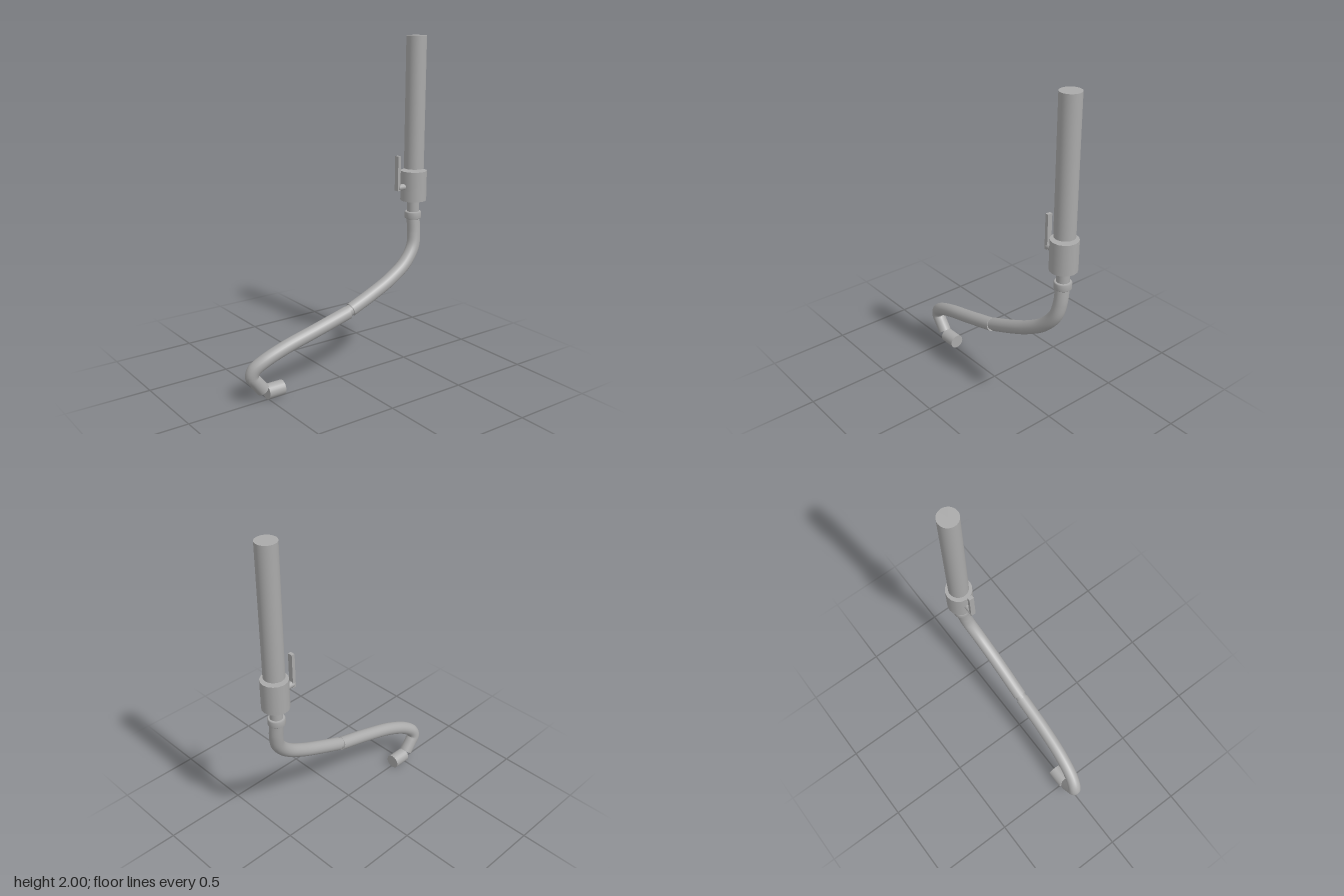
import * as THREE from 'three';

export function createModel() {
  const model = new THREE.Group();
  const metal = new THREE.MeshStandardMaterial({ color: 0xaaaaaa });
  metal.name = 'grey metal';
  const X = -0.01, Z = -0.56; // axis of the upright parts

  const add = (name, geometry, x = 0, y = 0, z = 0) => {
    const mesh = new THREE.Mesh(geometry, metal);
    mesh.name = name;
    mesh.position.set(x, y, z);
    model.add(mesh);
    return mesh;
  };
  const upright = (name, r, y0, y1, sides = 32) =>
    add(name, new THREE.CylinderGeometry(r, r, y1 - y0, sides), X, (y0 + y1) / 2, Z);
  const alongZ = (name, r, y, z0, z1, sides = 24) => {
    const g = new THREE.CylinderGeometry(r, r, z1 - z0, sides).rotateX(Math.PI / 2);
    return add(name, g, X, y, (z0 + z1) / 2);
  };

  // Upper pipe, valve and coupling
  upright('upperPipe', 0.06, 1.215, 2);
  upright('valveBody', 0.079, 1.018, 1.2, 16);
  upright('valveNeck', 0.037, 0.94, 1.03);
  const ring = [[0, 0.903], [0.045, 0.903], [0.05, 0.908], [0.05, 0.942], [0.045, 0.948], [0, 0.948]];
  add('couplingRing', new THREE.LatheGeometry(ring.map(([r, y]) => new THREE.Vector2(r, y)), 24), X, 0, Z);

  // Lever handle
  alongZ('handleStem', 0.019, 1.107, -0.49, -0.435, 12);
  add('handleLever', new THREE.BoxGeometry(0.03, 0.21, 0.02), X, 1.195, -0.435);

  // Tube along a smooth path, closed by a disc at each end
  const hose = (name, points, r) => {
    const curve = new THREE.CatmullRomCurve3(points.map(p => new THREE.Vector3(...p)));
    add(name, new THREE.TubeGeometry(curve, 64, r, 20));
    for (const [t, s] of [[0, -1], [1, 1]]) {
      const p = curve.getPointAt(t);
      const cap = add(name + 'Cap', new THREE.CircleGeometry(r, 20), p.x, p.y, p.z);
      cap.quaternion.setFromUnitVectors(new THREE.Vector3(0, 0, 1), curve.getTangentAt(t).multiplyScalar(s));
    }
  };
  hose('upperHose', [
    [X, 0.92, Z], [0.003, 0.81, -0.559], [0.015, 0.73, -0.54], [0.03, 0.64, -0.465],
    [0.039, 0.56, -0.34], [0.042, 0.495, -0.2], [0.042, 0.433, -0.05]], 0.04);
  hose('hoseJoint', [[0.042, 0.438, -0.06], [0.042, 0.418, -0.01]], 0.034);
  hose('lowerHose', [
    [0.042, 0.421, -0.028], [0.04, 0.36, 0.2], [0.029, 0.302, 0.4], [0.012, 0.245, 0.53],
    [-0.004, 0.2, 0.587], [X, 0.16, 0.598], [X, 0.125, 0.575], [X, 0.066, 0.53]], 0.04);

  // Outlet
  alongZ('outlet', 0.044, 0.046, 0.4, 0.507);

  // Rest the outlet on the ground
  model.position.y = -0.002;
  return model;
}
